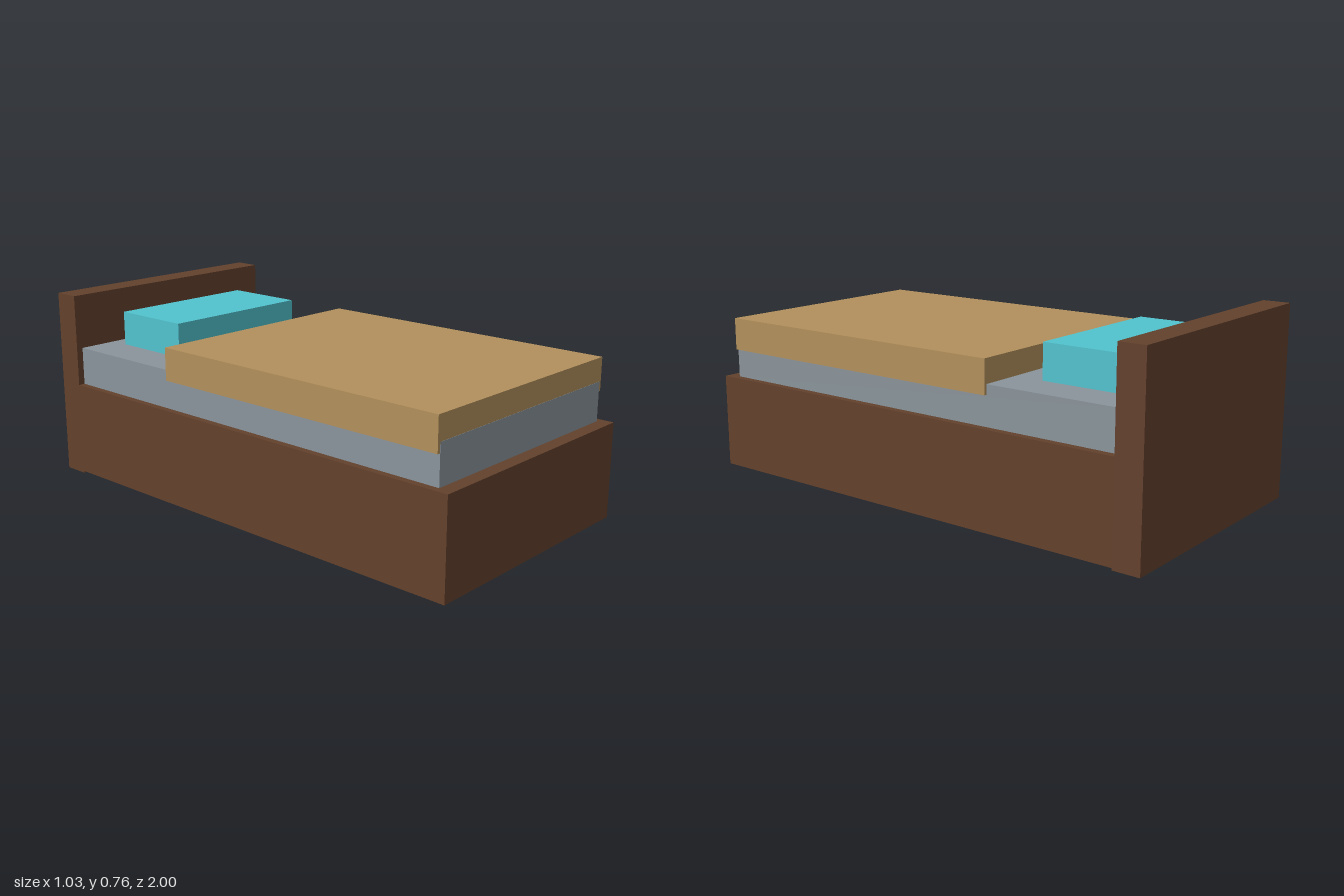
import * as THREE from 'three';

const material = (name, color) => {
  const m = new THREE.MeshStandardMaterial({ color });
  m.name = name;
  return m;
};

export function createModel() {
  const wood = material('darkWood', 0x63412c);
  const grey = material('mattressGrey', 0x8a949b);
  const tan = material('blanketTan', 0xb2905c);
  const cyan = material('pillowCyan', 0x52c3ce);

  const bed = new THREE.Group();
  bed.name = 'bed';

  // Adds a box spanning the given ranges on each axis
  const addBox = (name, mat, [x0, x1], [y0, y1], [z0, z1]) => {
    const mesh = new THREE.Mesh(new THREE.BoxGeometry(x1 - x0, y1 - y0, z1 - z0), mat);
    mesh.position.set((x0 + x1) / 2, (y0 + y1) / 2, (z0 + z1) / 2);
    mesh.name = name;
    bed.add(mesh);
  };

  // Wooden base, just clear of the floor, and the taller headboard
  addBox('bedFrame', wood, [-0.513, 0.513], [0.008, 0.385], [-0.893, 1]);
  addBox('headboard', wood, [-0.513, 0.513], [0, 0.758], [-1, -0.893]);

  // Bedding; the mattress end sits a hair proud of the blanket end
  addBox('mattress', grey, [-0.486, 0.484], [0.385, 0.538], [-0.893, 0.946]);
  addBox('blanket', tan, [-0.498, 0.495], [0.5, 0.63], [-0.352, 0.945]);
  addBox('pillow', cyan, [-0.325, 0.322], [0.538, 0.676], [-0.815, -0.473]);

  return bed;
}
